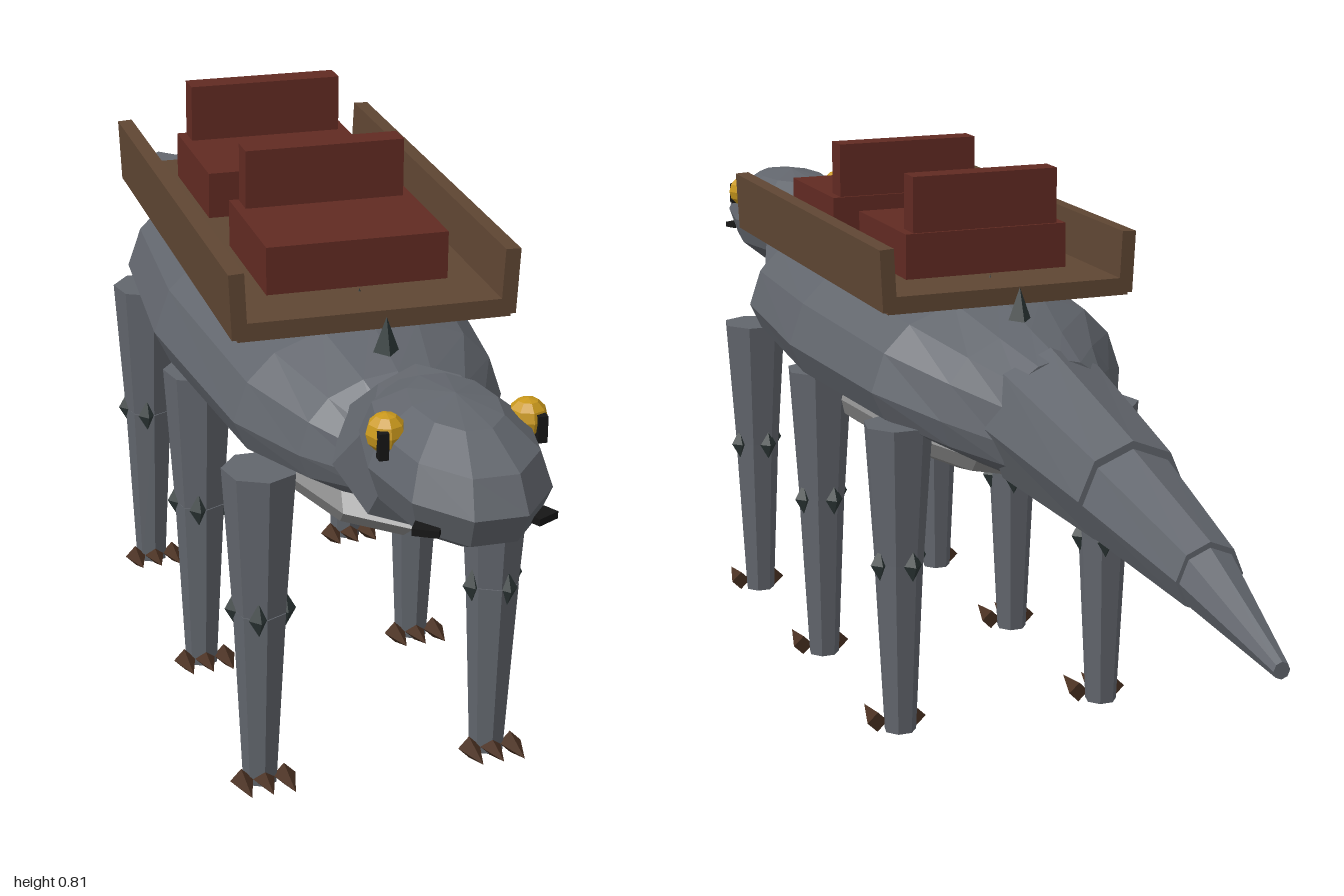
import * as THREE from 'three';

const mat = (name, color) => Object.assign(new THREE.MeshStandardMaterial({ color }), { name });

// Faceted look: split shared vertices so every face has its own normal
function flat(g) {
  const f = g.index ? g.toNonIndexed() : g;
  f.computeVertexNormals();
  return f;
}

// Skin a closed profile along sections [z, centreY, radiusX, radiusY], front to back
function loft(sections, profile) {
  const n = profile.length, pos = [], idx = [];
  for (const [z, cy, rx, ry] of sections)
    for (const [px, py] of profile) pos.push(px * rx, cy + py * ry, z);
  for (let i = 0; i < sections.length - 1; i++)
    for (let j = 0; j < n; j++) {
      const a = i * n + j, b = i * n + (j + 1) % n, c = a + n, d = b + n;
      idx.push(a, c, b, b, c, d);
    }
  const last = (sections.length - 1) * n;
  for (let j = 1; j < n - 1; j++) {
    idx.push(0, j, j + 1);
    idx.push(last, last + j + 1, last + j);
  }
  const g = new THREE.BufferGeometry();
  g.setAttribute('position', new THREE.Float32BufferAttribute(pos, 3));
  g.setIndex(idx);
  return flat(g);
}

export function createModel() {
  const model = new THREE.Group();
  model.name = 'saddledLizard';
  const hide = mat('grey hide', 0x62666d);
  const bellyMat = mat('pale belly', 0x8c8c8c);
  const wood = mat('brown wood', 0x5f4633);
  const cushion = mat('red seat', 0x612a22);
  const amber = mat('amber eye', 0xc9981c);
  const black = mat('black', 0x161616);
  const horn = mat('dark horn', 0x2d3737);
  const clawMat = mat('brown claw', 0x4a3122);

  const add = (name, geo, material, x = 0, y = 0, z = 0, parent = model) => {
    const m = new THREE.Mesh(geo, material);
    m.name = name;
    m.position.set(x, y, z);
    parent.add(m);
    return m;
  };
  const box = (w, h, d) => new THREE.BoxGeometry(w, h, d);
  const ball = (rx, ry, rz, w, h) => flat(new THREE.SphereGeometry(1, w, h).scale(rx, ry, rz));

  // Body
  const half = [[0, -1], [0.55, -0.87], [0.9, -0.58], [1, -0.2], [0.9, 0.32], [0.7, 0.68], [0.35, 0.92], [0, 1]];
  const bodyProfile = [...half, ...half.slice(1, -1).reverse().map(([x, y]) => [-x, y])];
  add('body', loft([
    [0.68, 0.525, 0.06, 0.055], [0.6, 0.535, 0.13, 0.085], [0.48, 0.54, 0.185, 0.105],
    [0.16, 0.549, 0.22, 0.12], [-0.14, 0.54, 0.195, 0.108], [-0.26, 0.52, 0.135, 0.1],
    [-0.36, 0.51, 0.09, 0.09]], bodyProfile), hide);
  add('belly', ball(0.145, 0.068, 0.49, 12, 8), bellyMat, 0, 0.433, 0.185);

  // Tail of three tapering pieces
  const round = Array.from({ length: 8 }, (_, i) => {
    const a = (i / 8) * Math.PI * 2;
    return [Math.cos(a), Math.sin(a)];
  });
  [
    [[-0.33, 0.505, 0.1, 0.105], [-0.595, 0.472, 0.077, 0.074]],
    [[-0.585, 0.468, 0.072, 0.07], [-0.815, 0.43, 0.046, 0.046]],
    [[-0.805, 0.43, 0.043, 0.043], [-1, 0.375, 0.011, 0.011]],
  ].forEach((s, i) => add(`tailPiece${i + 1}`, loft(s, round), hide));

  // Neck and head
  const neck = add('neck', flat(new THREE.CylinderGeometry(0.075, 0.103, 0.105, 8)), hide, 0, 0.57, 0.694);
  neck.rotation.x = 0.7;
  add('head', ball(0.106, 0.085, 0.18, 10, 6), hide, 0, 0.597, 0.82);
  for (const s of [-1, 1]) {
    add('eye', ball(0.025, 0.025, 0.025, 8, 6), amber, s * 0.088, 0.645, 0.83);
    add('pupil', box(0.012, 0.034, 0.012), black, s * 0.098, 0.638, 0.851);
    add('nostril', box(0.032, 0.009, 0.022), black, s * 0.07, 0.566, 0.935).rotation.y = s * 0.5;
  }

  // Legs with knee spikes and three claws each
  const upperGeo = flat(new THREE.CylinderGeometry(0.051, 0.037, 0.205, 7));
  const lowerGeo = flat(new THREE.CylinderGeometry(0.037, 0.024, 0.263, 7));
  const kneeGeo = flat(new THREE.OctahedronGeometry(1).scale(0.014, 0.025, 0.014));
  const clawGeo = flat(new THREE.ConeGeometry(0.016, 0.06, 4).rotateX(Math.PI / 2));
  ['front', 'middle', 'rear'].forEach((label, i) => {
    for (const s of [-1, 1]) {
      const leg = new THREE.Group();
      leg.name = `${label}${s > 0 ? 'Left' : 'Right'}Leg`;
      leg.position.set(s * 0.163, 0, [0.533, 0.19, -0.16][i]);
      model.add(leg);
      add('upperLeg', upperGeo, hide, 0, 0.373, 0, leg);
      add('lowerLeg', lowerGeo, hide, 0, 0.139, 0, leg).rotation.x = 0.01;
      for (let k = 0; k < 4; k++) {
        const a = 0.3 + (k * Math.PI) / 2;
        add('kneeSpike', kneeGeo, horn, s * Math.sin(a) * 0.034, 0.27, Math.cos(a) * 0.034, leg);
      }
      for (const k of [-1, 0, 1])
        add('claw', clawGeo, clawMat, k * 0.03, 0.021, 0.042, leg).rotation.x = -0.12;
    }
  });

  // Spikes along the back
  const spikeGeo = flat(new THREE.ConeGeometry(0.022, 0.06, 4));
  [[0.55, 0.645], [0.43, 0.64], [-0.11, 0.64], [-0.22, 0.643]]
    .forEach(([z, y]) => add('backSpike', spikeGeo, horn, 0, y, z));

  // Riding platform
  add('platformFloor', box(0.37, 0.025, 0.69), wood, 0, 0.653, 0.16);
  for (const s of [-1, 1])
    add('platformWall', box(0.021, 0.09, 0.69), wood, s * 0.184, 0.689, 0.16).rotation.z = -s * 0.05;

  // Two seats
  for (const z of [0.322, 0.003]) {
    add('seat', box(0.25, 0.066, 0.2), cushion, 0, 0.702, z);
    add('seatBack', box(0.224, 0.083, 0.037), cushion, 0, 0.775, z - 0.077);
  }
  return model;
}
